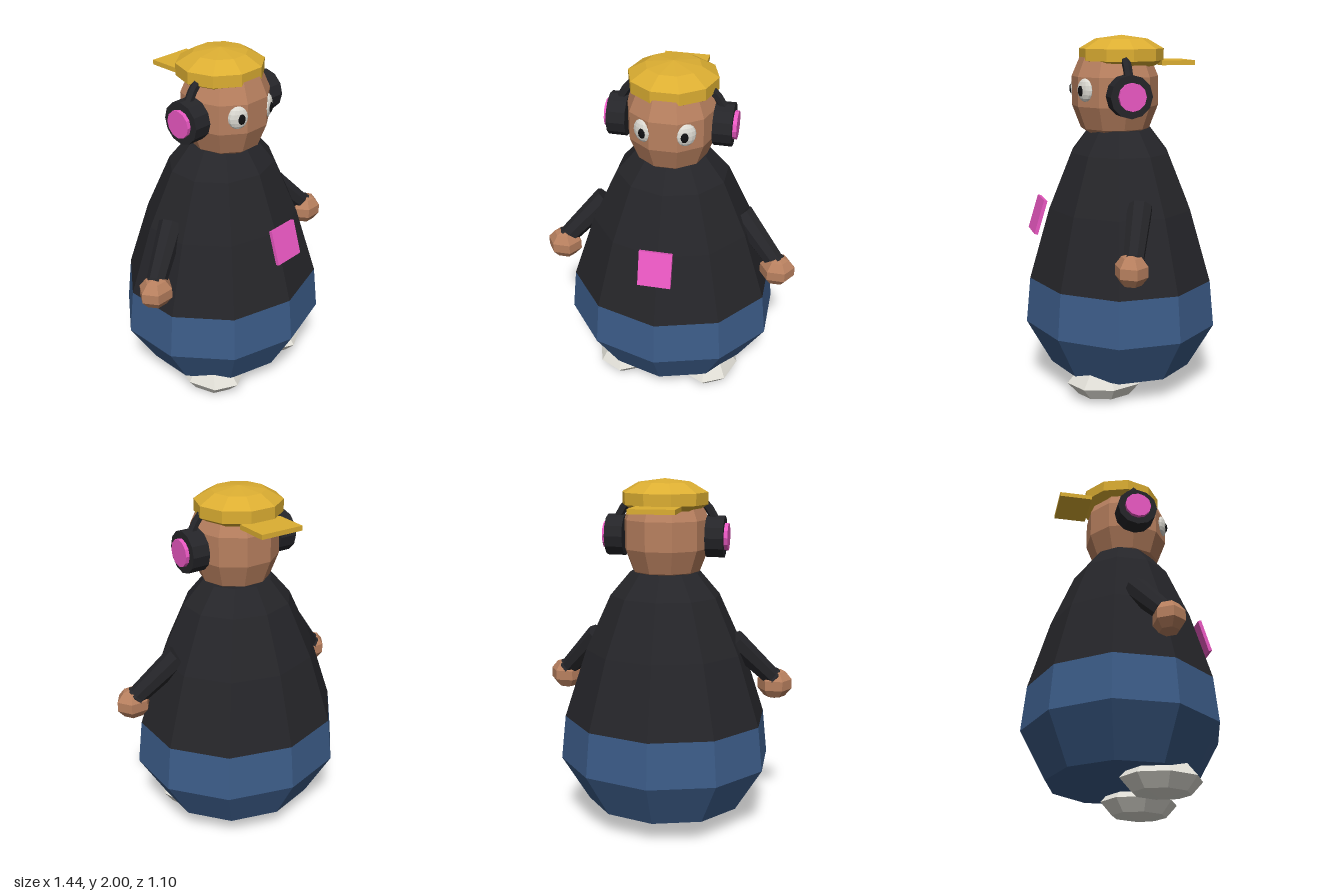
import * as THREE from 'three';

const mat = (color) => new THREE.MeshStandardMaterial({ color, flatShading: true });
const SKIN = mat(0xb8805f), BLACK = mat(0x252529), DENIM = mat(0x3b5b87), GOLD = mat(0xdcae32);
const PINK = mat(0xea58c2), WHITE = mat(0xdedcd4), PUPIL = mat(0x101012);

export function createModel() {
  const model = new THREE.Group();

  function add(name, geometry, material, x = 0, y = 0, z = 0) {
    const mesh = new THREE.Mesh(geometry, material);
    mesh.name = name;
    mesh.position.set(x, y, z);
    model.add(mesh);
    return mesh;
  }
  // ten-sided turned shape from [radius, height] pairs, listed bottom to top
  const turned = (pairs, start = 0) =>
    new THREE.LatheGeometry(pairs.map(([r, y]) => new THREE.Vector2(r, y)), 10, start);
  // faceted ellipsoid
  const ball = (rx, ry, rz, sides, rings) =>
    new THREE.SphereGeometry(1, sides, rings).scale(rx, ry, rz);

  // body, slightly flattened front to back
  add('trousers', turned([[0, 0.14], [0.455, 0.14], [0.613, 0.4], [0.585, 0.655]]), DENIM).scale.z = 0.9;
  add('sweater', turned([[0.585, 0.655], [0.455, 1.05], [0.312, 1.36], [0.2, 1.49], [0, 1.49]]), BLACK).scale.z = 0.9;
  add('chestPatch', new THREE.BoxGeometry(0.18, 0.195, 0.02), PINK, 0, 1.02, 0.475).rotation.x = -0.3;

  // head, with a corner of its outline on each side
  add('head', turned([[0, 1.42], [0.1, 1.43], [0.192, 1.495], [0.24, 1.62], [0.24, 1.78], [0.192, 1.89], [0, 1.93]],
    Math.PI / 10), SKIN, 0, 0, 0.027);

  // cap with the peak at the back
  add('cap', ball(0.252, 0.105, 0.246, 10, 5), GOLD, 0, 1.897, -0.01);
  add('capPeak', new THREE.BoxGeometry(0.25, 0.026, 0.19), GOLD, 0, 1.852, -0.302);

  // headphone band, running under the cap
  add('headphoneBand', new THREE.TorusGeometry(0.29, 0.025, 6, 16, Math.PI), BLACK, 0, 1.69, 0.027).scale.y = 0.92;

  const down = new THREE.Vector3(0, -1, 0);
  for (const s of [1, -1]) {
    const side = s > 0 ? 'left' : 'right';

    // headphone cup and coloured pad
    const disc = (r, w) => new THREE.CylinderGeometry(r, r, w, 12).rotateZ(Math.PI / 2);
    add(side + 'HeadphoneCup', disc(0.115, 0.1), BLACK, s * 0.28, 1.687, 0.027);
    add(side + 'HeadphonePad', disc(0.075, 0.05), PINK, s * 0.326, 1.687, 0.027);

    // eye following the slope of the face
    add(side + 'Eye', ball(0.055, 0.063, 0.025, 12, 8), WHITE, s * 0.113, 1.712, 0.225).rotation.y = s * 0.5;
    add(side + 'Pupil', ball(0.022, 0.03, 0.014, 10, 6), PUPIL, s * 0.11, 1.708, 0.247).rotation.y = s * 0.4;

    // sleeve from shoulder to wrist, with a cuff
    const shoulder = new THREE.Vector3(s * 0.39, 1.11, 0);
    const wrist = new THREE.Vector3(s * 0.605, 0.88, 0.1);
    const along = wrist.clone().sub(shoulder);
    const length = along.length();
    const turn = new THREE.Quaternion().setFromUnitVectors(down, along.normalize());
    const middle = shoulder.clone().lerp(wrist, 0.5);
    add(side + 'Sleeve', new THREE.CylinderGeometry(0.07, 0.055, length, 8), BLACK, ...middle.toArray())
      .quaternion.copy(turn);
    add(side + 'Cuff', new THREE.TorusGeometry(0.048, 0.016, 5, 8).rotateX(Math.PI / 2), BLACK, ...wrist.toArray())
      .quaternion.copy(turn);
    add(side + 'Hand', ball(0.103, 0.09, 0.09, 6, 5), SKIN, s * 0.622, 0.837, 0.115);

    // shoe
    add(side + 'Shoe', ball(0.175, 0.102, 0.22, 8, 4), WHITE, s * 0.255, 0.105, 0.155);
  }
  return model;
}
